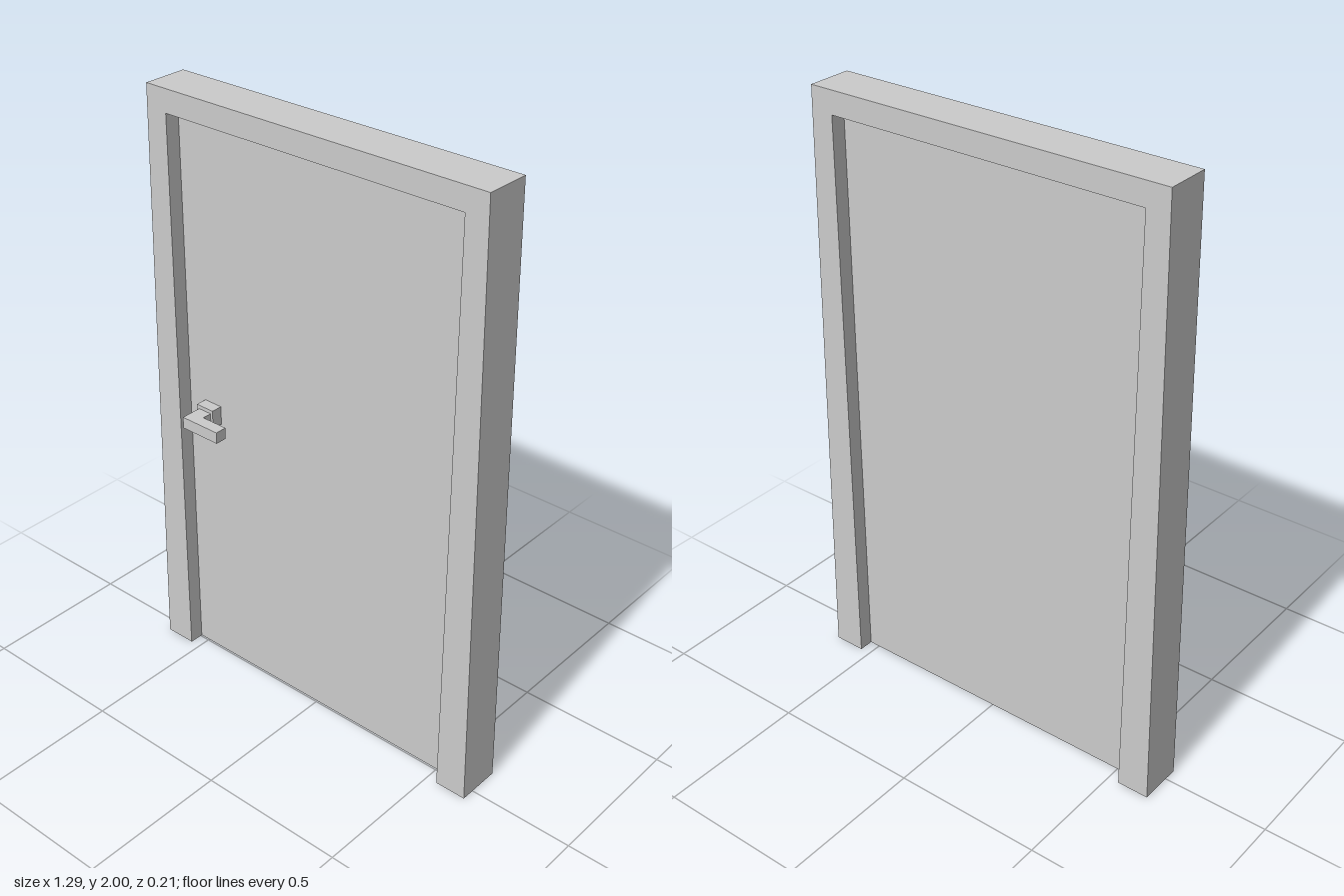
import * as THREE from 'three';

const material = new THREE.MeshStandardMaterial({ color: 0xcccccc, flatShading: true, side: THREE.DoubleSide });

const FRONT = 0.045, BACK = -0.105, RECESS = 0.05;

function addMesh(parent, name, geometry, x = 0, y = 0, z = 0) {
  const mesh = new THREE.Mesh(geometry, material);
  mesh.name = name;
  mesh.position.set(x, y, z);
  parent.add(mesh);
  return mesh;
}

// Band of flat walls that follows an open outline, from depth z0 to z1
function wallBand(outline, z0, z1) {
  const positions = [];
  for (let i = 0; i < outline.length - 1; i++) {
    const [ax, ay] = outline[i], [bx, by] = outline[i + 1];
    positions.push(ax, ay, z0, bx, by, z0, bx, by, z1);
    positions.push(ax, ay, z0, bx, by, z1, ax, ay, z1);
  }
  const geometry = new THREE.BufferGeometry();
  geometry.setAttribute('position', new THREE.Float32BufferAttribute(positions, 3));
  geometry.computeVertexNormals();
  return geometry;
}

export function createModel() {
  const model = new THREE.Group();
  model.name = 'door';

  // Tapered outer outline and straight opening, both open at the floor
  const outer = [[0.644, 0], [0.612, 2], [-0.612, 2], [-0.644, 0]];
  const inner = [[-0.537, 0], [-0.537, 1.925], [0.537, 1.925], [0.537, 0]];
  const faceShape = new THREE.Shape([...outer, ...inner].map(([x, y]) => new THREE.Vector2(x, y)));

  // Hollow frame: sides and top
  addMesh(model, 'frameOuterWalls', wallBand(outer, BACK, FRONT));

  // Frame face, reveal and door leaf, once for each side
  for (const [side, z, turn] of [['front', FRONT, 0], ['back', BACK, Math.PI]]) {
    const group = new THREE.Group();
    group.name = side + 'Side';
    group.position.z = z;
    group.rotation.y = turn;
    addMesh(group, 'frameFace', new THREE.ShapeGeometry(faceShape));
    addMesh(group, 'frameReveal', wallBand(inner, -RECESS, 0));
    addMesh(group, 'doorPanel', new THREE.PlaneGeometry(1.074, 1.925), 0, 0.9625, -RECESS);
    model.add(group);
  }

  // Handle: mounting plate, stem and lever
  const handle = new THREE.Group();
  handle.name = 'handle';
  handle.position.set(-0.438, 0.944, FRONT - RECESS);
  addMesh(handle, 'handlePlate', new THREE.BoxGeometry(0.068, 0.064, 0.038), 0, 0, 0.019);

  // L-shaped stem and lever, drawn in plan (x, depth) and extruded upward
  const plan = new THREE.Shape([
    [-0.025, -0.03], [0.025, -0.03], [0.025, -0.07], [0.12, -0.07], [0.12, -0.11], [-0.025, -0.11],
  ].map(([x, d]) => new THREE.Vector2(x, d)));
  const lever = new THREE.ExtrudeGeometry(plan, { depth: 0.039, bevelEnabled: false });
  lever.translate(0, 0, -0.0195).rotateX(-Math.PI / 2);
  addMesh(handle, 'handleLever', lever);
  model.add(handle);

  return model;
}
